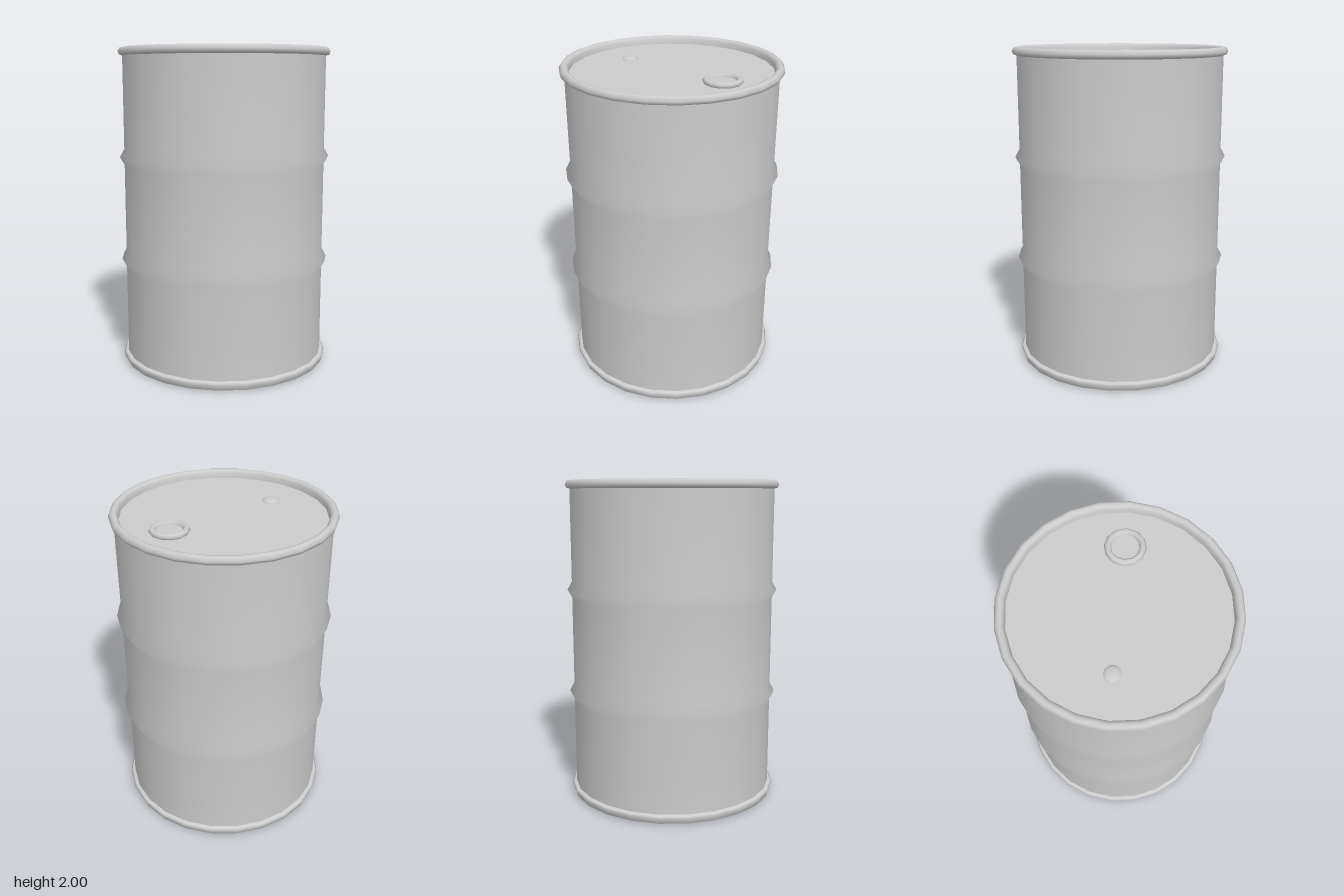
import * as THREE from 'three';

const SIDES = 24;
const LID_Y = 1.95;
const BODY_R = 0.637;
const RIM_R = 0.665;

export function createModel() {
  const group = new THREE.Group();
  group.name = 'drum';
  const material = new THREE.MeshStandardMaterial({ color: 0xcccccc });

  const add = (name, geometry, x = 0, y = 0, z = 0) => {
    const mesh = new THREE.Mesh(geometry, material);
    mesh.name = name;
    mesh.position.set(x, y, z);
    group.add(mesh);
    return mesh;
  };
  // Profiles run upward on the outside and inward over the top
  const lathe = (points, sides) =>
    new THREE.LatheGeometry(points.map(([r, y]) => new THREE.Vector2(r, y)), sides);
  const disc = (radius, sides, facing) =>
    new THREE.CircleGeometry(radius, sides).rotateX(-facing * Math.PI / 2);

  // Side wall with two pressed ribs
  const wall = [[BODY_R, 0.04]];
  for (const y of [0.67, 1.325]) {
    wall.push([BODY_R, y - 0.05], [RIM_R, y], [BODY_R, y + 0.05]);
  }
  wall.push([BODY_R, 1.965]);
  add('sideWall', lathe(wall, SIDES));

  // Rolled rims at both ends
  add('bottomRim', lathe([
    [0.642, 0], [0.653, 0.005], [RIM_R, 0.04], [0.655, 0.05], [0.634, 0.056],
  ], SIDES));
  add('topRim', lathe([
    [0.634, 1.948], [0.657, 1.955], [RIM_R, 1.975], [0.653, 1.996], [0.638, 2],
    [0.622, 1.995], [0.612, 1.98], [0.609, LID_Y],
  ], SIDES));

  // End plates: flat base and sunken lid
  add('base', disc(0.642, SIDES, -1));
  add('lid', disc(0.611, SIDES, 1), 0, LID_Y, 0);

  // Large filler opening: raised ring around a shallow plug
  add('fillerRing', lathe([
    [0.108, 0], [0.118, 0.012], [0.11, 0.026], [0.095, 0.032], [0.082, 0.026], [0.077, 0.008],
  ], 12), 0.33, LID_Y, -0.195);
  add('fillerPlug', disc(0.08, 12, 1), 0.33, LID_Y + 0.01, -0.195);

  // Small vent cap: low dome
  add('ventCap', lathe([
    [0.05, 0], [0.047, 0.009], [0.03, 0.017], [0, 0.02],
  ], 10), -0.307, LID_Y, 0.173);

  return group;
}
